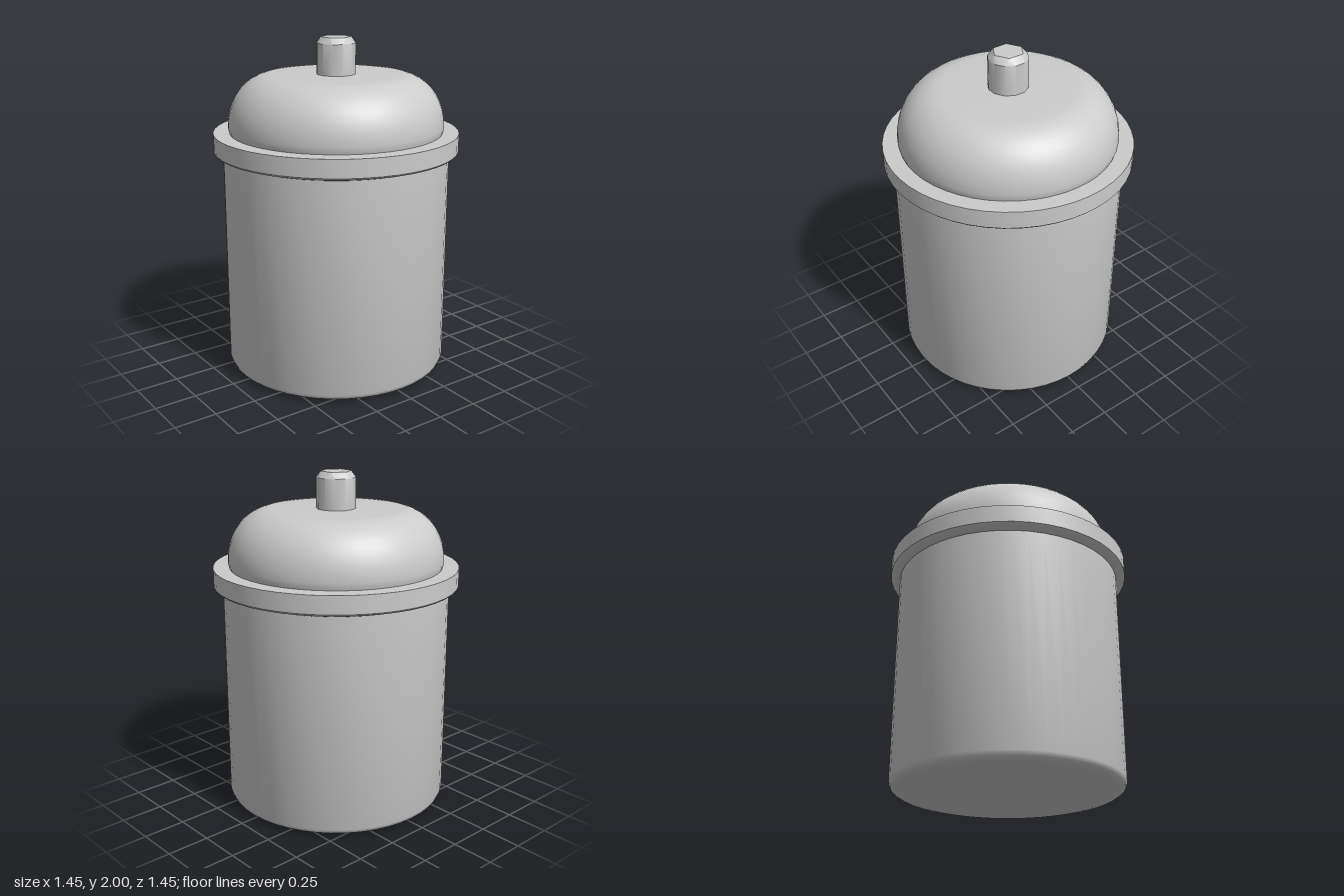
import * as THREE from 'three';
import { toCreasedNormals } from 'three/addons/utils/BufferGeometryUtils.js';
import { ConvexGeometry } from 'three/addons/geometries/ConvexGeometry.js';

const material = new THREE.MeshStandardMaterial({ color: 0xcccccc });

function addPart(group, name, geometry, crease) {
  const mesh = new THREE.Mesh(toCreasedNormals(geometry, crease), material);
  mesh.name = name;
  group.add(mesh);
}

// Profiles run from the bottom axis outwards and up
function turned(points) {
  return new THREE.LatheGeometry(points.map(([r, y]) => new THREE.Vector2(r, y)), 48);
}

function polygon(sides, radius, y, start) {
  return Array.from({ length: sides }, (_, i) => {
    const a = start + (i / sides) * Math.PI * 2;
    return new THREE.Vector3(Math.cos(a) * radius, y, Math.sin(a) * radius);
  });
}

export function createModel() {
  const group = new THREE.Group();
  group.name = 'lidded jar';

  // Body with a softly rounded foot
  addPart(group, 'body', turned([
    [0, 0], [0.6, 0.004], [0.64, 0.012], [0.662, 0.025], [0.672, 0.05], [0.672, 1.33], [0, 1.33],
  ]), 0.7);

  // Projecting rim, chamfered underneath
  addPart(group, 'rim', turned([
    [0, 1.32], [0.675, 1.32], [0.715, 1.333], [0.727, 1.345], [0.727, 1.45], [0, 1.45],
  ]), 0.6);

  // Domed lid with a flat top
  const dome = [[0, 1.44], [0.628, 1.44], [0.637, 1.47]];
  for (let i = 0; i <= 10; i++) {
    const a = (i / 10) * Math.PI / 2;
    dome.push([0.385 + 0.253 * Math.cos(a), 1.49 + 0.295 * Math.sin(a)]);
  }
  dome.push([0, 1.785]);
  addPart(group, 'domedLid', turned(dome), 0.6);

  // Twelve-sided knob, bevelled to a hexagonal top
  addPart(group, 'knob', new ConvexGeometry([
    ...polygon(12, 0.116, 1.77, Math.PI / 12),
    ...polygon(12, 0.116, 1.965, Math.PI / 12),
    ...polygon(6, 0.09, 2, 0),
  ]), 0.6);

  return group;
}
